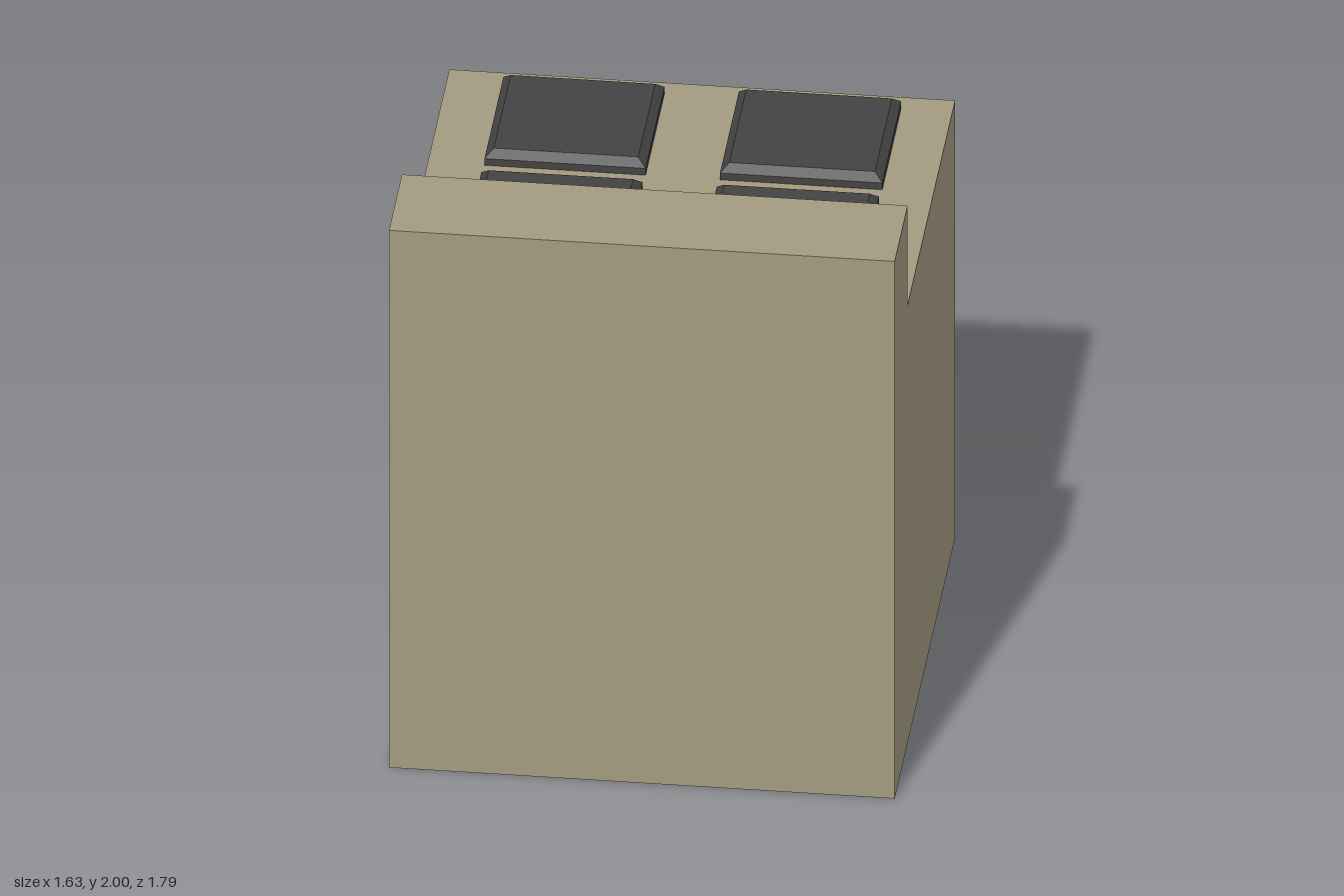
import * as THREE from 'three';

const material = (color) => new THREE.MeshStandardMaterial({ color, flatShading: true });

// Extrudes an outline given as [x, y] pairs
function extrude(points, depth) {
  const shape = new THREE.Shape(points.map(([x, y]) => new THREE.Vector2(x, y)));
  return new THREE.ExtrudeGeometry(shape, { depth, bevelEnabled: false });
}

// Square plate with a straight lower rim and a chamfered upper rim
function hotplateGeometry(width, height, depth, inset) {
  const geometry = new THREE.BoxGeometry(width, height, depth, 1, 2, 1);
  const p = geometry.attributes.position;
  for (let i = 0; i < p.count; i++) {
    if (p.getY(i) > 0.001) {
      p.setX(i, p.getX(i) - Math.sign(p.getX(i)) * inset);
      p.setZ(i, p.getZ(i) - Math.sign(p.getZ(i)) * inset);
    }
  }
  geometry.computeVertexNormals();
  return geometry;
}

export function createModel() {
  const stove = new THREE.Group();
  stove.name = 'stove';
  const enamel = material(0xa39b80);
  const brass = material(0xc9a94f);
  const iron = material(0x434343);

  function add(name, geometry, mat, x = 0, y = 0, z = 0) {
    const mesh = new THREE.Mesh(geometry, mat);
    mesh.name = name;
    mesh.position.set(x, y, z);
    stove.add(mesh);
    return mesh;
  }

  // Body and raised control panel share one side profile, swept across the width
  const profile = [[-0.896, 0], [0.73, 0], [0.73, 1.63], [-0.547, 1.63], [-0.547, 2], [-0.896, 2]];
  const body = extrude(profile, 1.626);
  body.rotateY(Math.PI / 2);
  add('body', body, enamel, -0.813);

  // Four hotplates
  for (const [x, width] of [[-0.372, 0.518], [0.387, 0.522]]) {
    for (const z of [-0.408, 0.187]) {
      add('hotplate', hotplateGeometry(width, 0.05, 0.51, 0.027), iron, x, 1.655, z);
    }
  }

  // Dark strip on the control panel
  add('panelStrip', new THREE.BoxGeometry(1.244, 0.045, 0.039), iron, -0.002, 1.928, 0.5275);

  // Oven door
  add('ovenDoor', new THREE.BoxGeometry(1.02, 1.006, 0.042), brass, -0.002, 0.75, -0.751);

  // U-shaped door handle, drawn in plan and laid flat
  const handle = extrude([
    [-0.371, 0.77], [-0.371, 0.896], [0.367, 0.896], [0.367, 0.77],
    [0.317, 0.77], [0.317, 0.836], [-0.316, 0.836], [-0.316, 0.77],
  ], 0.043);
  handle.rotateX(-Math.PI / 2);
  add('doorHandle', handle, iron, 0, 1.14);

  return stove;
}
